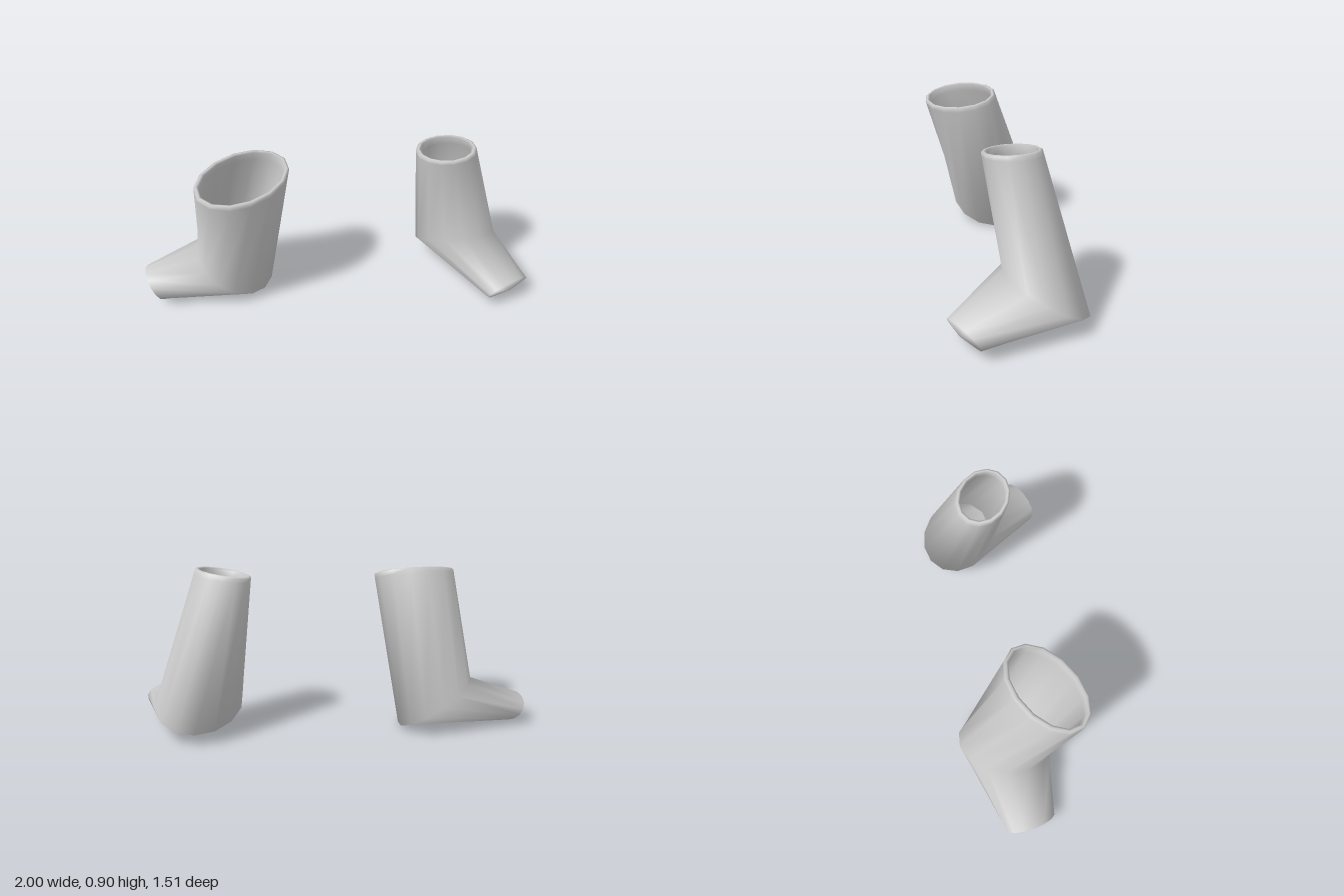
import * as THREE from 'three';

const SIDES = 14;
const WALL = 0.024;

const V = (p) => new THREE.Vector3(...p);

// A ring is an ellipse: centre c, half axis a (towards the toe), half axis b (sideways)
const ring = (c, a, b) => ({ c: V(c), a: V(a), b: V(b) });

const shrink = (r, d) => ({
  c: r.c.clone(),
  a: r.a.clone().setLength(r.a.length() - d),
  b: r.b.clone().setLength(r.b.length() - d),
});

const mix = (r, s, t) => ({
  c: r.c.clone().lerp(s.c, t),
  a: r.a.clone().lerp(s.a, t),
  b: r.b.clone().lerp(s.b, t),
});

// Skin a sequence of rings with smooth normals and close both ends with a centre point
function loft(rings, startPoint, endPoint) {
  const pos = [];
  const index = [];
  for (const r of rings) {
    for (let j = 0; j < SIDES; j++) {
      const t = (j / SIDES) * Math.PI * 2;
      const p = r.c.clone().addScaledVector(r.a, Math.cos(t)).addScaledVector(r.b, Math.sin(t));
      pos.push(p.x, p.y, p.z);
    }
  }
  const start = rings.length * SIDES;
  const last = start - SIDES;
  pos.push(...startPoint.toArray(), ...endPoint.toArray());
  for (let j = 0; j < SIDES; j++) {
    const k = (j + 1) % SIDES;
    for (let i = 0; i < last; i += SIDES) {
      index.push(i + SIDES + j, i + SIDES + k, i + k, i + SIDES + j, i + k, i + j);
    }
    index.push(j, k, start, start + 1, last + k, last + j);
  }
  const g = new THREE.BufferGeometry();
  g.setAttribute('position', new THREE.Float32BufferAttribute(pos, 3));
  g.setIndex(index);
  g.computeVertexNormals();
  return g;
}

// Hollow boot: bent tube from rim, round the heel-to-instep section, to the toe
function makeBoot(name, rim, heel, toe, toeTip, material) {
  const innerToe = shrink(mix(toe, heel, 0.1), WALL);
  const inner = [innerToe, shrink(heel, WALL), shrink(mix(rim, heel, 0.06), WALL), shrink(rim, WALL)];
  // slightly rounded lip
  const lip = shrink(rim, WALL * 0.5);
  lip.c.y += 0.006;
  const outer = [rim, mix(rim, heel, 0.03), heel, toe];
  const mesh = new THREE.Mesh(loft([...inner, lip, ...outer], innerToe.c, V(toeTip)), material);
  mesh.name = name;
  return mesh;
}

export function createModel() {
  const group = new THREE.Group();
  group.name = 'pairOfBoots';
  const grey = new THREE.MeshStandardMaterial({ color: 0xcccccc });
  grey.name = 'boot grey';

  // Wide boot, front right
  group.add(makeBoot('rightBoot',
    ring([-0.34, 0.85, 0.452], [-0.1, -0.02, 0.25], [0.162, -0.045, 0.062]),
    ring([-0.547, 0.136, 0.318], [-0.108, 0.115, 0.203], [0.175, -0.06, 0.17]),
    ring([-0.888, 0.076, 0.652], [-0.032, 0.075, 0.034], [0.104, 0, 0.1]),
    [-0.905, 0.074, 0.67], grey));

  // Narrow boot, back left
  group.add(makeBoot('leftBoot',
    ring([0.47, 0.873, -0.31], [0.148, 0.013, 0.07], [0.078, 0.02, -0.124]),
    ring([0.495, 0.178, -0.517], [0.19, 0.11, 0.1], [0.116, -0.05, -0.217]),
    ring([0.928, 0.095, -0.29], [0.032, 0.066, 0.015], [0.065, 0, -0.127]),
    [0.95, 0.093, -0.28], grey));

  return group;
}
